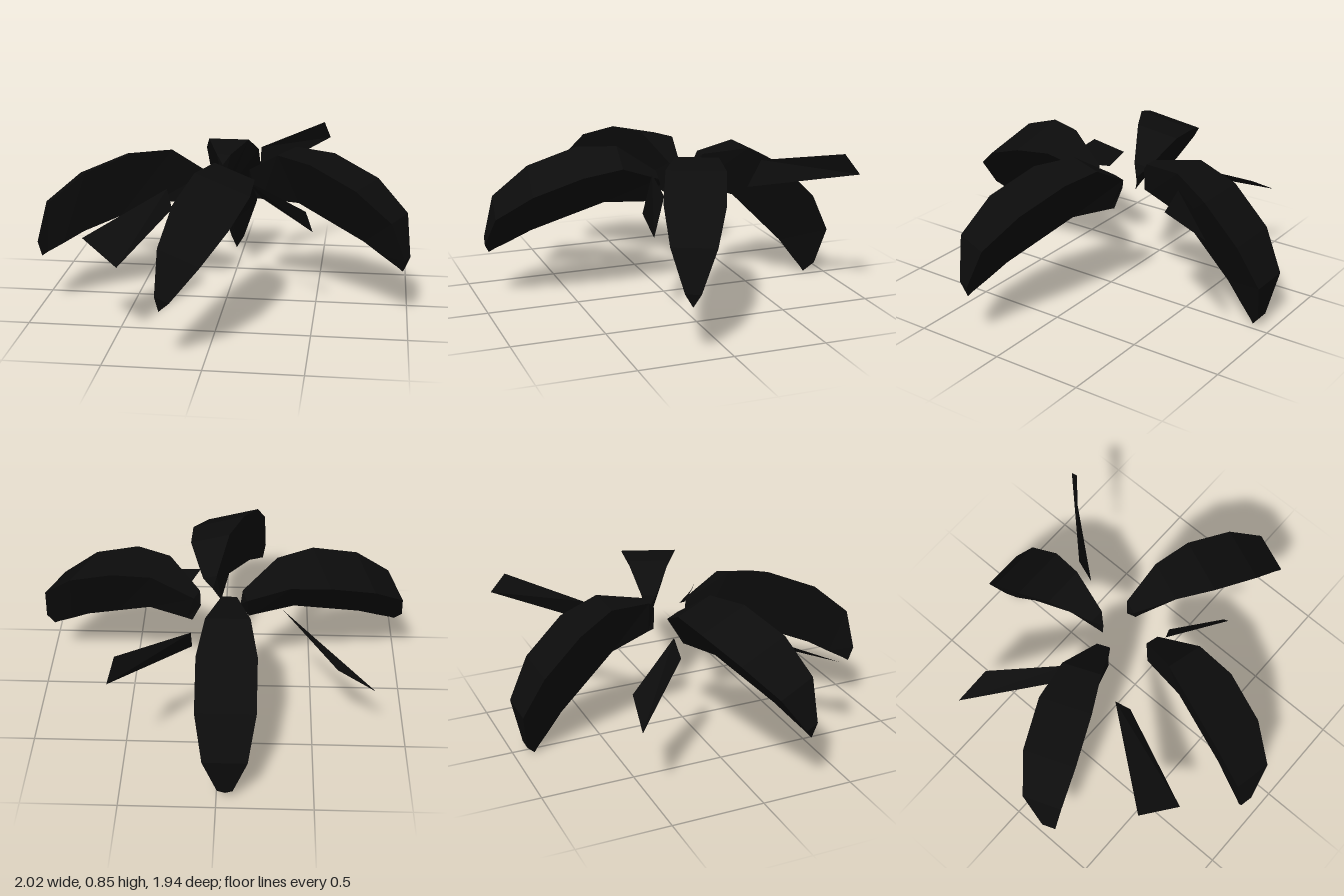
import * as THREE from 'three';

const v = (p) => new THREE.Vector3(...p);

// Leaf stations from root to tip: outward, height, half width, keel outward, keel height
const STATIONS = [
  [0.185, 0.72, 0, 0.19, 0.60],
  [0.23, 0.77, 0.04, 0.22, 0.59],
  [0.47, 0.80, 0.115, 0.43, 0.51],
  [0.66, 0.70, 0.155, 0.58, 0.36],
  [0.86, 0.50, 0.155, 0.73, 0.21],
  [0.975, 0.28, 0.115, 0.81, 0.105],
  [0.94, 0.06, 0.04, 0.87, 0.03],
  [0.89, 0, 0, 0.89, 0],
];
const SHOULDER = v([0, 0.80, 0.47]);
const TIP = v([0, 0, 0.89]);

// Flat-faced surface from four-cornered faces
function quads(faces) {
  const pos = [];
  for (const [a, b, c, d] of faces) pos.push(...a, ...b, ...c, ...a, ...c, ...d);
  const g = new THREE.BufferGeometry();
  g.setAttribute('position', new THREE.Float32BufferAttribute(pos, 3));
  g.computeVertexNormals();
  return g;
}

// Arched leaf: flat upper face over a V-shaped keel
function leafGeometry() {
  const rings = STATIONS.map(([r, y, h, kr, ky]) => [[-h, y, r], [h, y, r], [0, ky, kr]]);
  const faces = [];
  for (let i = 0; i < rings.length - 1; i++) {
    const [l0, r0, k0] = rings[i];
    const [l1, r1, k1] = rings[i + 1];
    faces.push([l0, l1, r1, r0], [r0, r1, k1, k0], [k0, k1, l1, l0]);
  }
  return quads(faces);
}

// Orthonormal frame from a tip direction and a sideways direction
function frame(side, dir) {
  const d = dir.clone().normalize();
  const s = side.clone().addScaledVector(d, -side.dot(d)).normalize();
  return new THREE.Matrix4().makeBasis(s, d, s.clone().cross(d));
}

// Turn and move a leaf so its shoulder and tip meet the given points
function placeLeaf(mesh, side, shoulder, tip) {
  const local = frame(v([1, 0, 0]), TIP.clone().sub(SHOULDER));
  const world = frame(v(side), v(tip).sub(v(shoulder)));
  const turn = world.multiply(local.transpose());
  mesh.quaternion.setFromRotationMatrix(turn);
  const middle = SHOULDER.clone().add(TIP).multiplyScalar(0.5).applyMatrix4(turn);
  mesh.position.copy(v(shoulder).add(v(tip)).multiplyScalar(0.5).sub(middle));
}

export function createModel() {
  const model = new THREE.Group();
  model.name = 'leafCluster';
  const black = new THREE.MeshStandardMaterial({ color: 0x0c0c0c, side: THREE.DoubleSide });
  black.name = 'black';

  // Four big drooping leaves: sideways direction, shoulder, tip
  const leaf = leafGeometry();
  const leaves = {
    backLeaf: [[-1, 0, 0], [-0.045, 0.80, -0.47], [-0.045, 0, -0.89]],
    frontLeaf: [[0.30, -0.095, 0.035], [0.075, 0.81, 0.275], [-0.22, 0.27, 0.935]],
    leftLeaf: [[0.37, 0, -0.93], [0.335, 0.83, -0.06], [0.955, 0.28, 0.20]],
    rightLeaf: [[0.09, 0.075, 0.285], [-0.34, 0.815, -0.075], [-0.965, 0.31, 0.265]],
  };
  for (const [name, args] of Object.entries(leaves)) {
    const mesh = new THREE.Mesh(leaf, black);
    mesh.name = name;
    placeLeaf(mesh, ...args);
    model.add(mesh);
  }

  // Four small flat blades between the leaves
  const blades = {
    backLeftBlade: [[0.14, 0.745, -0.52], [0.14, 0.60, -0.44], [0.525, 0.72, -0.92], [0.49, 0.83, -0.845]],
    backRightBlade: [[-0.33, 0.665, -0.195], [-0.61, 0.54, -0.54], [-0.81, 0.43, -0.57], [-0.41, 0.58, -0.19]],
    frontRightBlade: [[-0.31, 0.66, 0.13], [-0.67, 0.52, 0.60], [-0.47, 0.41, 0.72], [-0.27, 0.57, 0.20]],
    frontLeftBlade: [[0.12, 0.715, 0.11], [0.45, 0.605, 0.28], [0.485, 0.48, 0.23], [0.20, 0.61, 0.07]],
  };
  for (const [name, corners] of Object.entries(blades)) {
    const mesh = new THREE.Mesh(quads([corners]), black);
    mesh.name = name;
    model.add(mesh);
  }
  return model;
}
